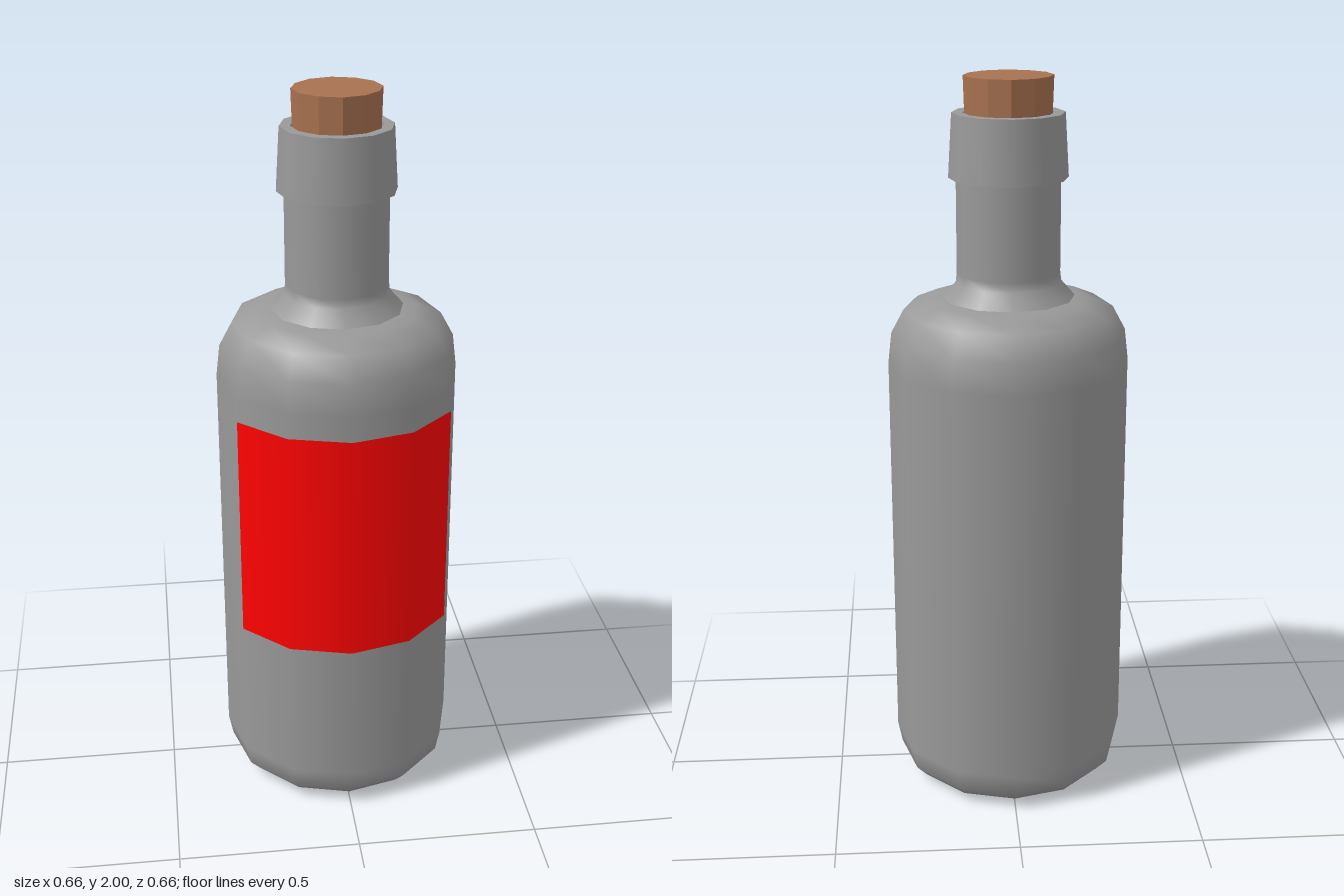
import * as THREE from 'three';

const SIDES = 12;

export function createModel() {
  const group = new THREE.Group();
  const glass = new THREE.MeshStandardMaterial({ color: 0x999999 });
  const red = new THREE.MeshStandardMaterial({ color: 0xff0202, side: THREE.DoubleSide });
  const corkBrown = new THREE.MeshStandardMaterial({ color: 0xa87150, flatShading: true });

  const add = (name, geometry, material, y = 0) => {
    const mesh = new THREE.Mesh(geometry, material);
    mesh.name = name;
    mesh.position.y = y;
    group.add(mesh);
  };
  const lathe = (points) =>
    new THREE.LatheGeometry(points.map(([r, y]) => new THREE.Vector2(r, y)), SIDES);

  // Body with rounded base and shoulder
  add('body', lathe([
    [0, 0], [0.235, 0], [0.285, 0.015], [0.318, 0.05], [0.33, 0.11],
    [0.33, 1.23], [0.32, 1.315], [0.285, 1.38], [0.22, 1.408], [0.18, 1.413],
  ]), glass);

  // Neck with a flared foot
  add('neck', lathe([[0.18, 1.413], [0.143, 1.455], [0.14, 1.48], [0.14, 1.74]]), glass);

  // Lip: underside, tapered wall, rim, inner wall and floor, kept apart for sharp edges
  const lip = [[0.138, 1.735], [0.16, 1.735], [0.15, 1.905], [0.121, 1.905], [0.121, 1.85], [0, 1.85]];
  ['lipUnderside', 'lipWall', 'lipRim', 'lipInside', 'lipFloor'].forEach((name, i) =>
    add(name, lathe([lip[i], lip[i + 1]]), glass));

  // Label wrapped over the front four facets
  add('label', new THREE.CylinderGeometry(0.332, 0.332, 0.64, 4, 1, true,
    -Math.PI / 3, Math.PI * 2 / 3), red, 0.84);

  // Cork: slightly tapered and a little uneven around its edge
  const corkGeometry = new THREE.CylinderGeometry(0.119, 0.112, 0.22, SIDES);
  const p = corkGeometry.attributes.position;
  for (let i = 0; i < p.count; i++) {
    const a = Math.atan2(p.getX(i), p.getZ(i));
    const s = 1 + 0.025 * Math.cos(a - 0.5) * Math.cos(3 * a);
    p.setX(i, p.getX(i) * s);
    p.setZ(i, p.getZ(i) * s);
  }
  add('cork', corkGeometry, corkBrown, 1.89);

  return group;
}
